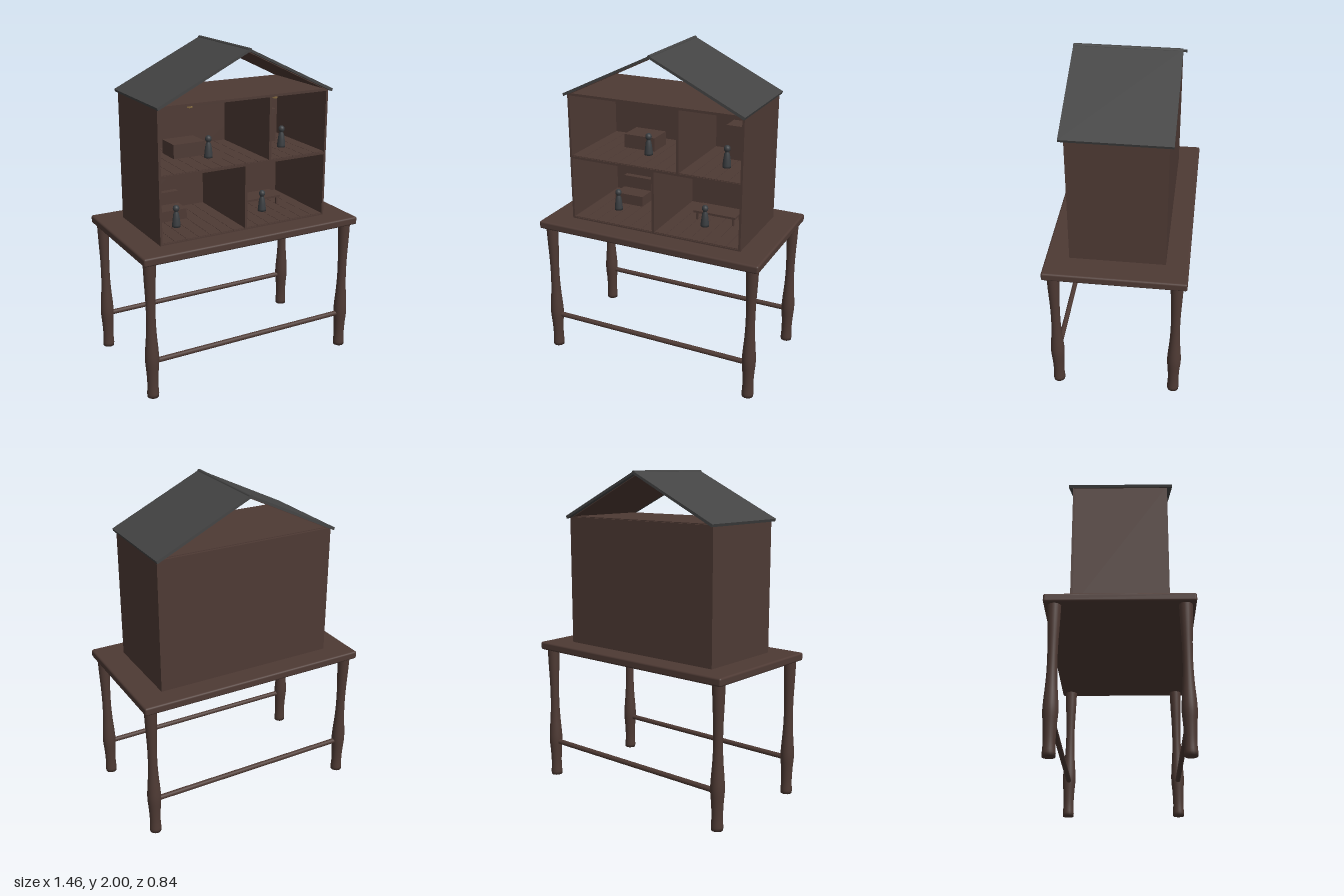
import * as THREE from 'three';
import { RoundedBoxGeometry } from 'three/addons/geometries/RoundedBoxGeometry.js';

const material = (name, color) => {
  const m = new THREE.MeshStandardMaterial({ color });
  m.name = name;
  return m;
};

export function createModel() {
  const wood = material('brown wood', 0x4e3a34);
  const slate = material('roof slate', 0x444444);
  const dollPaint = material('doll slate', 0x3a3d40);
  const brass = material('lamp brass', 0xcfa868);
  const model = new THREE.Group();
  model.name = 'dollhouseOnTable';

  const add = (name, geometry, mat, parent = model) => {
    const mesh = new THREE.Mesh(geometry, mat);
    mesh.name = name;
    parent.add(mesh);
    return mesh;
  };
  // Box given by its minimum and maximum corners
  const box = (name, x0, x1, y0, y1, z0, z1, mat = wood, parent = model) => {
    const mesh = add(name, new THREE.BoxGeometry(x1 - x0, y1 - y0, z1 - z0), mat, parent);
    mesh.position.set((x0 + x1) / 2, (y0 + y1) / 2, (z0 + z1) / 2);
    return mesh;
  };
  const lathe = (points, segments = 24) => {
    const curve = points.map(([r, y]) => new THREE.Vector2(r, y));
    return new THREE.LatheGeometry(curve, segments);
  };

  // Table top
  add('tableTop', new RoundedBoxGeometry(1.46, 0.05, 0.84, 3, 0.012), wood).position.y = 0.88;

  // Turned legs
  const legCurve = new THREE.SplineCurve([
    [0.036, 0.02], [0.033, 0.08], [0.036, 0.16], [0.042, 0.24], [0.039, 0.31],
    [0.032, 0.4], [0.028, 0.5], [0.029, 0.62], [0.034, 0.74], [0.038, 0.86],
  ].map(([r, y]) => new THREE.Vector2(r, y)));
  const legProfile = [[0, 0], [0.035, 0], ...legCurve.getPoints(28).map((p) => [p.x, p.y])];
  const legGeometry = lathe(legProfile);
  for (const z of [-0.36, 0.36]) {
    for (const x of [-0.675, 0.675]) add('leg', legGeometry, wood).position.set(x, 0, z);
    // Long stretchers
    const rail = add('stretcher', new THREE.CylinderGeometry(0.016, 0.016, 1.3, 16), wood);
    rail.rotation.z = Math.PI / 2;
    rail.position.set(0, 0.23, z);
  }

  // House shell
  const house = new THREE.Group();
  house.name = 'house';
  model.add(house);
  box('backWall', -0.567, 0.567, 0.905, 1.71, -0.285, -0.27, wood, house);
  box('leftWall', 0.553, 0.567, 0.905, 1.71, -0.27, 0.28, wood, house);
  box('rightWall', -0.567, -0.553, 0.905, 1.71, -0.27, 0.28, wood, house);
  box('groundFloor', -0.553, 0.553, 0.905, 0.914, -0.27, 0.28, wood, house);
  box('upperFloor', -0.553, 0.553, 1.304, 1.319, -0.27, 0.28, wood, house);
  box('ceiling', -0.553, 0.553, 1.7, 1.715, -0.27, 0.28, wood, house);
  box('lowerDivider', -0.008, 0.008, 0.914, 1.304, -0.27, 0.28, wood, house);
  box('upperDivider', 0.154, 0.17, 1.319, 1.7, -0.27, 0.28, wood, house);

  // Floorboards in each room
  const boards = (x0, x1, y) => {
    const count = Math.round((x1 - x0) / 0.08);
    const step = (x1 - x0) / count;
    for (let i = 0; i < count; i++) {
      const x = x0 + i * step;
      box('floorboard', x + 0.001, x + step - 0.001, y, y + 0.004, -0.27, 0.275, wood, house);
    }
  };
  boards(-0.553, -0.008, 0.914);
  boards(0.008, 0.553, 0.914);
  boards(-0.553, 0.154, 1.319);
  boards(0.17, 0.553, 1.319);

  // Open pitched roof, slate above a wooden lining
  const chevron = (name, halfWidth, eave, peak, thickness, depth, mat) => {
    const shape = new THREE.Shape([
      [-halfWidth, eave], [-halfWidth + 0.006, eave - thickness], [0, peak - thickness],
      [halfWidth - 0.006, eave - thickness], [halfWidth, eave], [0, peak],
    ].map(([x, y]) => new THREE.Vector2(x, y)));
    const geometry = new THREE.ExtrudeGeometry(shape, { depth, bevelEnabled: false });
    geometry.translate(0, 0, -depth / 2);
    return add(name, geometry, mat, house);
  };
  chevron('roof', 0.58, 1.717, 1.995, 0.016, 0.62, slate);
  chevron('roofLining', 0.572, 1.705, 1.979, 0.005, 0.56, wood);
  const ridge = add('ridgeCap', new THREE.CylinderGeometry(0.012, 0.012, 0.62, 12), slate, house);
  ridge.rotation.x = Math.PI / 2;
  ridge.position.y = 1.988;

  // Furniture
  box('bed', -0.34, -0.13, 1.323, 1.41, -0.16, 0);
  box('wardrobe', 0.315, 0.425, 1.323, 1.535, -0.2, -0.08);
  box('sofaSeat', -0.44, -0.24, 0.918, 0.985, -0.17, -0.04);
  box('sofaBack', -0.44, -0.24, 0.985, 1.065, -0.2, -0.16);
  box('sofaBackBase', -0.44, -0.24, 0.918, 0.985, -0.2, -0.17);
  box('smallTableTop', 0.14, 0.42, 0.966, 0.98, -0.14, 0);
  for (const x of [0.155, 0.395]) {
    for (const z of [-0.13, -0.022]) box('smallTableLeg', x, x + 0.012, 0.918, 0.966, z, z + 0.012);
  }

  // Peg dolls
  const dollGeometry = lathe([
    [0, 0], [0.026, 0], [0.026, 0.015], [0.022, 0.05], [0.017, 0.085], [0.011, 0.095],
    [0.012, 0.1], [0.018, 0.108], [0.02, 0.118], [0.017, 0.13], [0.009, 0.137], [0, 0.138],
  ]);
  for (const [x, y] of [[-0.138, 1.321], [0.38, 1.321], [-0.36, 0.917], [0.245, 0.917]]) {
    add('doll', dollGeometry, dollPaint).position.set(x, y, 0.06);
  }

  // Hanging lamps
  const shadeGeometry = lathe([
    [0, -0.075], [0.016, -0.075], [0.018, -0.055], [0.024, -0.05],
    [0.024, -0.043], [0.014, -0.038], [0.009, -0.028], [0, -0.027],
  ], 16);
  const cordGeometry = new THREE.CylinderGeometry(0.002, 0.002, 0.03, 8);
  for (const [x, y] of [[-0.23, 1.7], [0.365, 1.7], [-0.285, 1.304], [0.332, 1.304]]) {
    const lamp = new THREE.Group();
    lamp.name = 'hangingLamp';
    lamp.position.set(x, y, 0);
    model.add(lamp);
    add('lampShade', shadeGeometry, brass, lamp);
    add('lampCord', cordGeometry, brass, lamp).position.y = -0.015;
  }

  return model;
}
